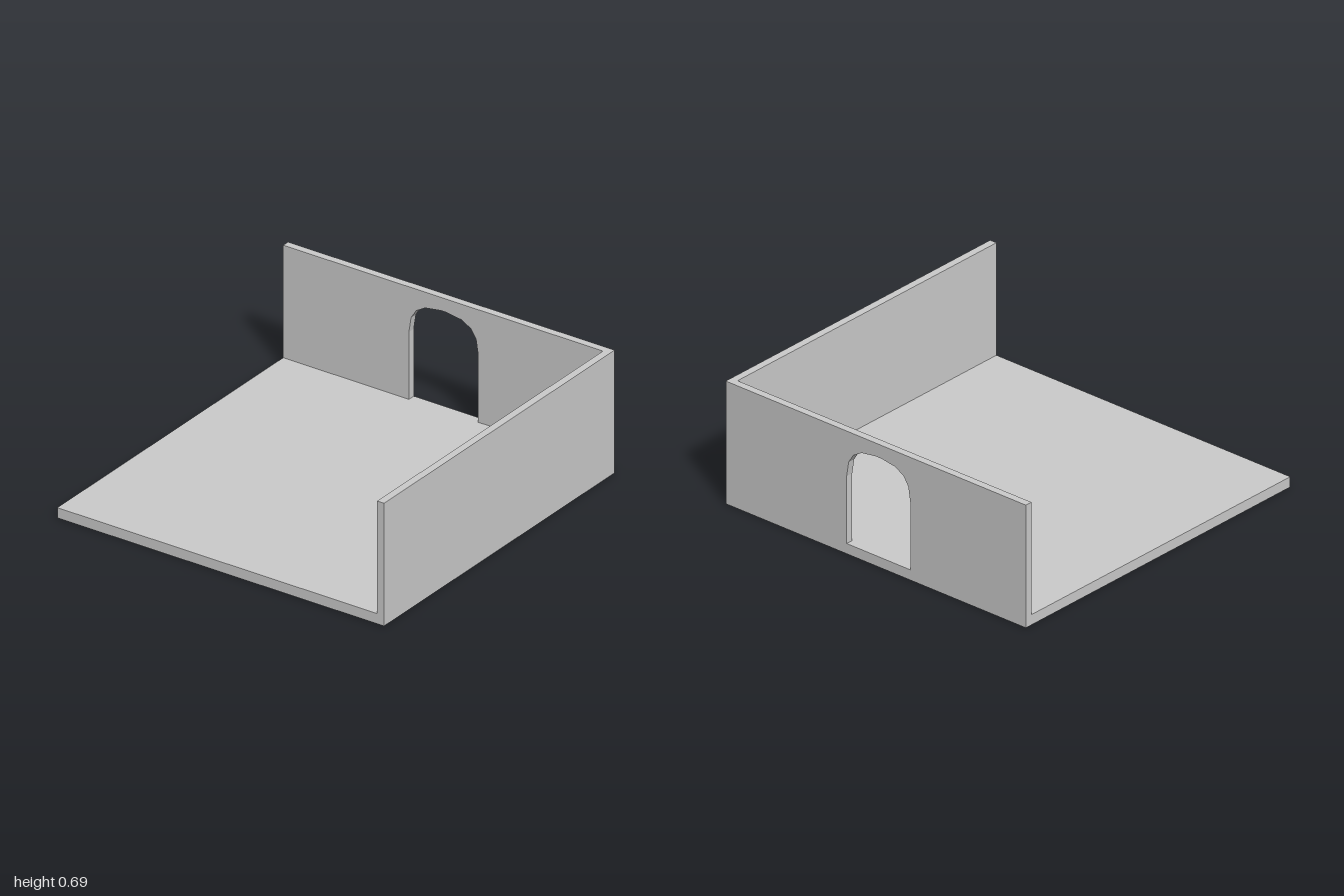
import * as THREE from 'three';

const HEIGHT = 0.695, WALL = 0.042, FLOOR = 0.058;

export function createModel() {
  const group = new THREE.Group();
  const material = new THREE.MeshStandardMaterial({ color: 0xcccccc, flatShading: true });

  const add = (name, geometry, x, y, z) => {
    const mesh = new THREE.Mesh(geometry, material);
    mesh.name = name;
    mesh.position.set(x, y, z);
    group.add(mesh);
    return mesh;
  };

  // Floor slab, fitted inside the two walls
  const inner = 2 - WALL;
  add('floor', new THREE.BoxGeometry(inner, FLOOR, inner), -WALL / 2, FLOOR / 2, -WALL / 2);

  // Solid front wall
  add('frontWall', new THREE.BoxGeometry(2, HEIGHT, WALL), 0, HEIGHT / 2, 1 - WALL / 2);

  // Side wall outline, drawn along z and y
  const outline = new THREE.Shape([
    new THREE.Vector2(-1, 0),
    new THREE.Vector2(1 - WALL, 0),
    new THREE.Vector2(1 - WALL, HEIGHT),
    new THREE.Vector2(-1, HEIGHT),
  ]);

  // Arched doorway: half profile mirrored about its centre line
  const centre = -0.018;
  const half = [[0.212, FLOOR], [0.212, 0.44], [0.199, 0.524], [0.168, 0.573], [0.112, 0.606], [0.02, 0.62]];
  const rightSide = half.map(([u, y]) => new THREE.Vector2(centre + u, y));
  const leftSide = half.map(([u, y]) => new THREE.Vector2(centre - u, y)).reverse();
  outline.holes.push(new THREE.Path([...rightSide, ...leftSide]));

  const sideGeometry = new THREE.ExtrudeGeometry(outline, { depth: WALL, bevelEnabled: false });
  add('sideWallWithDoorway', sideGeometry, 1, 0, 0).rotation.y = -Math.PI / 2;

  return group;
}
